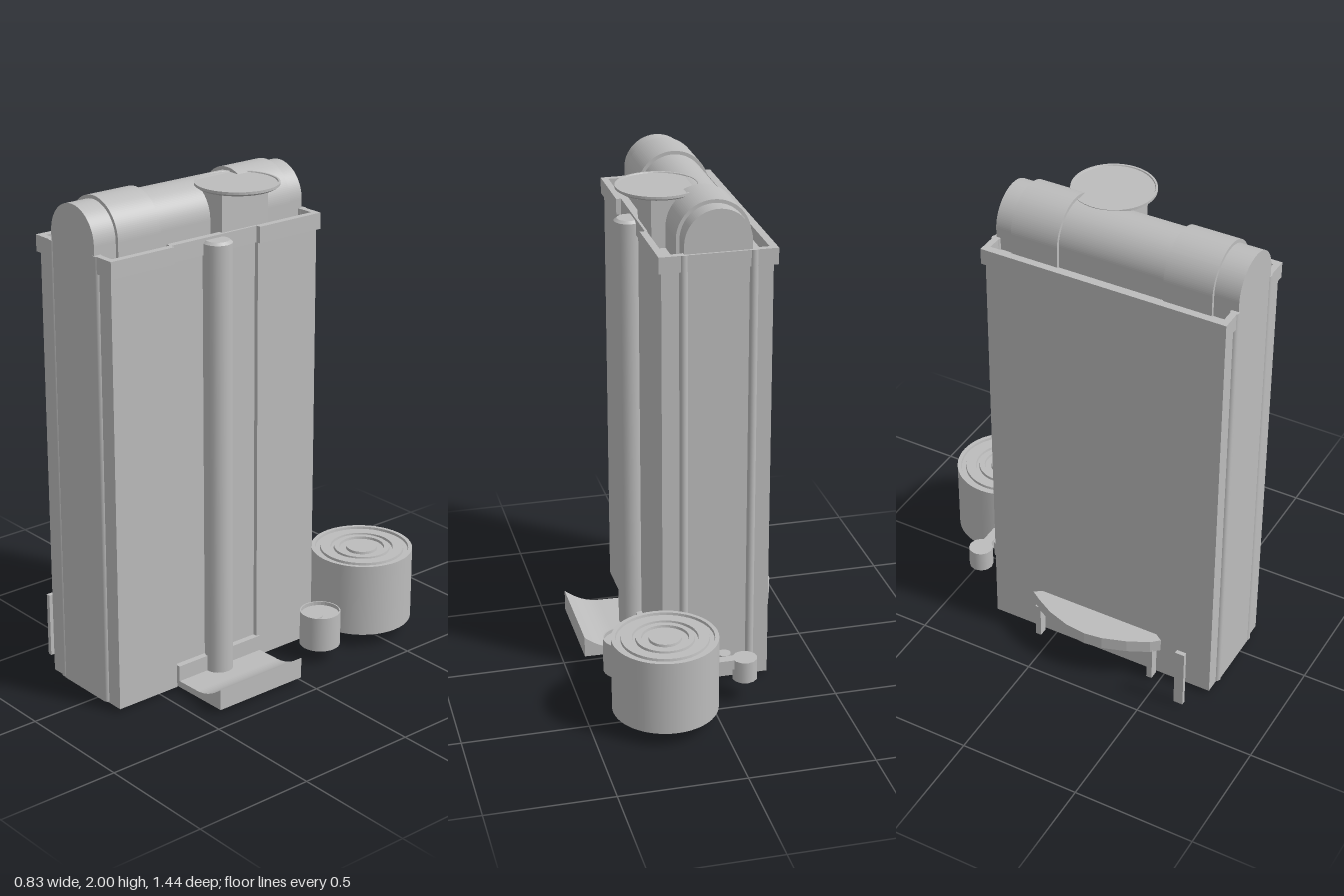
import * as THREE from 'three';

const grey = new THREE.MeshStandardMaterial({ color: 0xbcbcbc, side: THREE.DoubleSide });
grey.name = 'plain grey';

export function createModel() {
  const model = new THREE.Group();
  model.name = 'serviceTower';

  const add = (name, geometry, x = 0, y = 0, z = 0) => {
    const mesh = new THREE.Mesh(geometry, grey);
    mesh.name = name;
    mesh.position.set(x, y, z);
    model.add(mesh);
    return mesh;
  };
  // Box given by its limits on each axis
  const box = (name, x0, x1, y0, y1, z0, z1) =>
    add(name, new THREE.BoxGeometry(x1 - x0, y1 - y0, z1 - z0), (x0 + x1) / 2, (y0 + y1) / 2, (z0 + z1) / 2);
  const post = (name, x, z, r, y0, y1, sides = 24, open = false) =>
    add(name, new THREE.CylinderGeometry(r, r, y1 - y0, sides, 1, open), x, (y0 + y1) / 2, z);
  // Plan outline of [x, z] points, raised between two heights
  const toPoints = (plan) => plan.map(([x, z]) => new THREE.Vector2(x, -z));
  const prism = (plan, height, hole) => {
    const shape = new THREE.Shape(toPoints(plan));
    if (hole) shape.holes.push(new THREE.Path(toPoints(hole)));
    return new THREE.ExtrudeGeometry(shape, { depth: height, bevelEnabled: false }).rotateX(-Math.PI / 2);
  };
  // Tower plan: a rectangle with a shallow recess on its left side
  const towerPlan = (x0, x1, z0, z1, inset) => [
    [x0, z0], [x1, z0], [x1, 0.015], [x1 - inset, 0.015],
    [x1 - inset, 0.425], [x1, 0.425], [x1, z1], [x0, z1],
  ];

  // Hollow tower walls, open at the bottom, with a roof inside the rim
  const plan = towerPlan(-0.278, 0.153, -0.28, 0.707, 0.018);
  const walls = prism(plan, 1.755);
  const caps = walls.groups[0].count;
  for (const key of ['position', 'normal', 'uv']) {
    const a = walls.attributes[key];
    walls.setAttribute(key, new THREE.BufferAttribute(a.array.slice(caps * a.itemSize), a.itemSize));
  }
  walls.clearGroups();
  add('towerWalls', walls, 0, 0.015, 0);
  add('towerRoof', new THREE.ShapeGeometry(new THREE.Shape(toPoints(plan))).rotateX(-Math.PI / 2), 0, 1.77, 0);
  add('topRim', prism(
    towerPlan(-0.295, 0.165, -0.29, 0.715, 0.02), 0.065,
    towerPlan(-0.265, 0.138, -0.265, 0.69, 0.02)), 0, 1.755, 0);

  // Round-topped core running the full height, with two wider bands
  const arch = (name, r, bottom, z0, z1) => {
    const s = new THREE.Shape();
    s.moveTo(-r, bottom);
    s.lineTo(r, bottom);
    s.lineTo(r, 1.855);
    s.absarc(0, 1.855, r, 0, Math.PI, false);
    s.lineTo(-r, bottom);
    add(name, new THREE.ExtrudeGeometry(s, { depth: z1 - z0, bevelEnabled: false, curveSegments: 32 }), -0.065, 0, z0);
  };
  arch('archedCore', 0.131, 0.015, -0.281, 0.715);
  arch('rearBand', 0.145, 0.002, -0.21, -0.015);
  arch('frontBand', 0.145, 0.002, 0.422, 0.617);

  // Slim columns beside the core at both ends
  for (const x of [-0.202, 0.068])
    for (const z of [-0.279, 0.703]) post('slimColumn', x, z, 0.017, 0.02, 1.82, 16);

  // Disc on a square stand
  box('discStand', 0.0, 0.135, 1.77, 1.972, -0.05, 0.175);
  const disc = [[0, 1.97], [0.15, 1.97], [0.162, 1.978], [0.162, 1.988], [0.154, 1.988], [0.152, 1.984], [0, 1.984]];
  const lathe = (name, profile, x, z, sides = 48) =>
    add(name, new THREE.LatheGeometry(profile.map(([r, y]) => new THREE.Vector2(r, y)), sides).toNonIndexed(), x, 0, z);
  lathe('topDisc', disc, 0.085, 0.06).geometry.computeVertexNormals();

  // Downpipe and the sloping tray at its foot
  post('downpipe', 0.163, 0.22, 0.057, 0.012, 1.8, 24);
  add('downpipeCap', new THREE.CylinderGeometry(0.045, 0.057, 0.01, 24), 0.163, 1.805, 0.22);
  const tray = new THREE.Shape();
  tray.moveTo(0.135, 0.014);
  tray.lineTo(0.412, 0.018);
  tray.lineTo(0.412, 0.105);
  tray.quadraticCurveTo(0.34, 0.045, 0.27, 0.043);
  tray.lineTo(0.135, 0.04);
  add('drainTray', new THREE.ExtrudeGeometry(tray, { depth: 0.415, bevelEnabled: false }), 0, 0, 0.003);
  box('trayBack', 0.13, 0.16, 0.015, 0.105, 0.005, 0.418);

  // Large open-bottomed tank with a ringed lid
  post('tankWall', 0.2, -0.515, 0.208, 0.06, 0.365, 48, true);
  const lid = [
    [0.208, 0.365], [0.192, 0.365], [0.19, 0.355], [0.172, 0.355], [0.17, 0.365],
    [0.128, 0.365], [0.126, 0.355], [0.115, 0.355], [0.113, 0.365], [0.092, 0.365],
    [0.09, 0.355], [0.064, 0.355], [0.062, 0.365], [0, 0.365],
  ].reverse();
  lathe('tankLid', lid.reverse(), 0.2, -0.515).geometry.computeVertexNormals();

  // Small open-bottomed tub with a sunken lid
  post('tubWall', 0.295, -0.202, 0.082, 0.06, 0.205, 32, true);
  lathe('tubLid', [[0.082, 0.205], [0.077, 0.205], [0.077, 0.19], [0, 0.19]], 0.295, -0.202, 32)
    .geometry.computeVertexNormals();
  post('tubPlug', 0.295, -0.165, 0.037, 0.185, 0.197, 24);

  // Cluster of small pots behind the tower
  post('largePot', -0.14, -0.44, 0.05, 0.095, 0.185, 12);
  post('middlePot', -0.07, -0.387, 0.027, 0.12, 0.185, 12);
  post('smallPot', -0.014, -0.387, 0.023, 0.12, 0.185, 12);
  box('potBridge', -0.11, -0.01, 0.145, 0.185, -0.455, -0.415);

  // Curved bench with two legs
  const bench = [
    [-0.278, -0.06], [-0.3, -0.09], [-0.33, -0.045], [-0.372, 0.03], [-0.404, 0.125], [-0.414, 0.21],
    [-0.404, 0.285], [-0.372, 0.38], [-0.33, 0.465], [-0.3, 0.497], [-0.278, 0.465],
  ];
  add('benchSeat', prism(bench, 0.054), 0, 0.16, 0);
  for (const z of [-0.055, 0.46]) box('benchLeg', -0.325, -0.287, 0.014, 0.165, z - 0.012, z + 0.012);

  // Free-standing marker post
  box('markerPost', -0.4, -0.382, 0.018, 0.284, 0.61, 0.65);

  return model;
}
